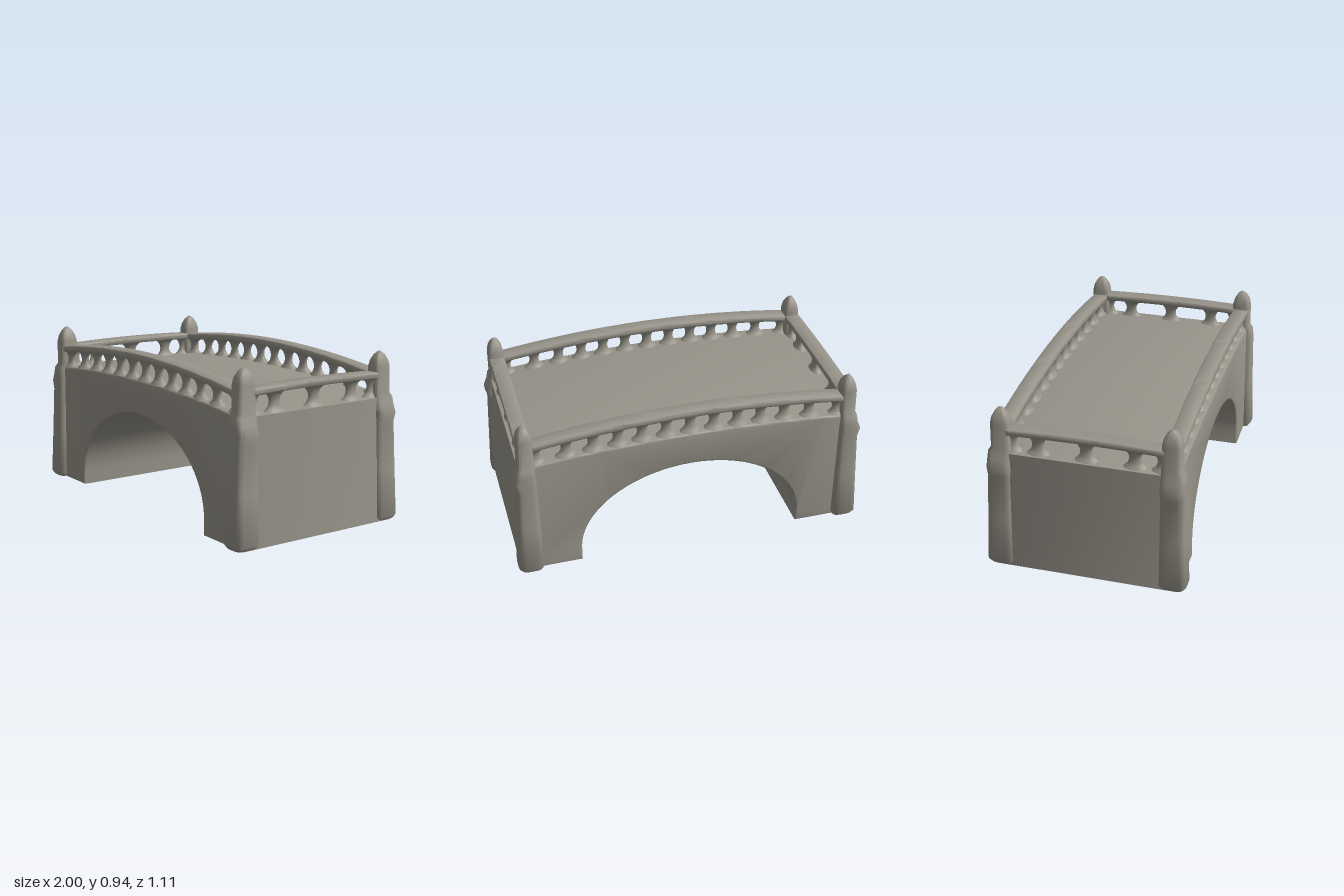
import * as THREE from 'three';
import { toCreasedNormals } from 'three/addons/utils/BufferGeometryUtils.js';

const stone = new THREE.MeshStandardMaterial({ color: 0x98948a });
stone.name = 'stone';

const crown = (x) => 1 - (x / 0.9) ** 2;
const deckY = (x) => 0.692 + 0.045 * crown(x);
const railTop = (x) => 0.82 + 0.066 * crown(x);
const railBottom = (x) => 0.782 + 0.062 * crown(x);

function part(name, geometry, parent) {
  const mesh = new THREE.Mesh(geometry, stone);
  mesh.name = name;
  parent.add(mesh);
  return mesh;
}

// Extrudes a shape centred on z, with softly rounded edges
function slab(shape, width, bevel) {
  const g = new THREE.ExtrudeGeometry(shape, {
    depth: width - 2 * bevel, bevelThickness: bevel, bevelSize: bevel,
    bevelOffset: -bevel, bevelSegments: 3, curveSegments: 24,
  });
  return g.translate(0, 0, bevel - width / 2);
}

// Band between two height curves
function band(half, top, bottom) {
  const pts = [];
  const n = 28;
  for (let i = 0; i <= n; i++) {
    const x = -half + (2 * half * i) / n;
    pts.push(new THREE.Vector2(x, bottom(x)));
  }
  for (let i = n; i >= 0; i--) {
    const x = -half + (2 * half * i) / n;
    pts.push(new THREE.Vector2(x, top(x)));
  }
  return new THREE.Shape(pts);
}

// Solid bridge body with elliptical arch, spreading towards the ground
function bodyGeometry() {
  const s = new THREE.Shape();
  s.moveTo(-0.955, 0);
  s.lineTo(-0.635, 0);
  for (let i = 0; i <= 40; i++) {
    const a = Math.PI * (1 - i / 40);
    s.lineTo(0.635 * Math.cos(a), 0.08 + 0.46 * Math.sin(a));
  }
  s.lineTo(0.635, 0);
  s.lineTo(0.955, 0);
  for (let i = 0; i <= 30; i++) {
    const x = 0.955 - (1.91 * i) / 30;
    s.lineTo(x, deckY(x));
  }
  const g = slab(s, 1.0, 0.012);
  const p = g.attributes.position;
  for (let i = 0; i < p.count; i++) {
    const x = p.getX(i);
    const low = 1 - p.getY(i) / 0.7;
    p.setZ(i, p.getZ(i) * (1 + 0.025 * low));
    if (Math.abs(x) > 0.9) p.setX(i, x + Math.sign(x) * 0.028 * low);
  }
  return toCreasedNormals(g, 0.6);
}

// Post rings: y, inner x, outer x, inner z, outer z
const postRings = [
  [0.003, 0.92, 0.92, 0.47, 0.47],
  [0.003, 0.865, 0.985, 0.41, 0.54],
  [0.025, 0.855, 1.0, 0.4, 0.555],
  [0.3, 0.858, 0.988, 0.4, 0.543],
  [0.55, 0.862, 0.977, 0.4, 0.534],
  [0.6, 0.862, 0.992, 0.4, 0.534],
  [0.645, 0.864, 0.973, 0.4, 0.532],
  [0.685, 0.866, 0.966, 0.4, 0.528],
  [0.71, 0.866, 0.957, 0.402, 0.512],
  [0.85, 0.866, 0.955, 0.403, 0.51],
  [0.885, 0.873, 0.948, 0.412, 0.502],
  [0.915, 0.887, 0.934, 0.429, 0.485],
  [0.933, 0.902, 0.919, 0.447, 0.467],
  [0.937, 0.91, 0.91, 0.457, 0.457],
];

function postGeometry(sx, sz) {
  const n = 28;
  const pos = [];
  const index = [];
  const round = (v) => Math.sign(v) * Math.abs(v) ** 0.5;
  postRings.forEach(([y, x0, x1, z0, z1], r) => {
    for (let i = 0; i < n; i++) {
      const a = (2 * Math.PI * i) / n;
      pos.push(
        (sx * (x0 + x1)) / 2 + ((x1 - x0) / 2) * round(Math.cos(a)),
        y,
        (sz * (z0 + z1)) / 2 + ((z1 - z0) / 2) * round(Math.sin(a)),
      );
      if (r === 0) continue;
      const j = (i + 1) % n;
      const a0 = (r - 1) * n + i, b0 = (r - 1) * n + j;
      const a1 = r * n + i, b1 = r * n + j;
      index.push(a0, a1, b0, b0, a1, b1);
    }
  });
  const g = new THREE.BufferGeometry();
  g.setAttribute('position', new THREE.Float32BufferAttribute(pos, 3));
  g.setIndex(index);
  return toCreasedNormals(g, 0.9);
}

// Waisted baluster of unit height, flaring into deck and rail
const balusterGeometry = new THREE.LatheGeometry(
  new THREE.SplineCurve([
    [0.062, 0], [0.05, 0.1], [0.034, 0.25], [0.027, 0.45],
    [0.03, 0.65], [0.042, 0.84], [0.064, 1],
  ].map(([r, y]) => new THREE.Vector2(r, y))).getPoints(16), 18);

function baluster(parent, x, z, y0, y1, sx, sz) {
  const m = part('baluster', balusterGeometry, parent);
  m.position.set(x, y0, z);
  m.scale.set(sx, y1 - y0, sz);
}

export function createModel() {
  const bridge = new THREE.Group();
  bridge.name = 'archBridge';
  part('archBody', bodyGeometry(), bridge);

  // Long curved balustrades
  const sideRail = toCreasedNormals(slab(band(0.9, railTop, railBottom), 0.092, 0.013), 0.9);
  for (const sz of [-1, 1]) {
    const side = new THREE.Group();
    side.name = sz > 0 ? 'frontBalustrade' : 'backBalustrade';
    part('sideRail', sideRail, side).position.z = sz * 0.457;
    for (const x of [0, 0.135, 0.27, 0.403, 0.54, 0.687, 0.855]) {
      for (const sx of x ? [-1, 1] : [1]) {
        baluster(side, sx * x, sz * 0.457, deckY(x) - 0.005, railBottom(x) + 0.008, 1, 0.68);
      }
    }
    bridge.add(side);
  }

  // Short end balustrades
  const endTop = (z) => 0.835 - 0.05 * z * z;
  const endBottom = (z) => 0.797 - 0.05 * z * z;
  const endRail = toCreasedNormals(slab(band(0.43, endTop, endBottom), 0.09, 0.012), 0.9);
  endRail.rotateY(Math.PI / 2);
  for (const sx of [-1, 1]) {
    const end = new THREE.Group();
    end.name = sx > 0 ? 'leftBalustrade' : 'rightBalustrade';
    part('endRail', endRail, end).position.x = sx * 0.91;
    for (const z of [-0.41, -0.26, 0, 0.26, 0.41]) {
      baluster(end, sx * 0.908, z, 0.682, 0.802, 0.68, 1.2);
    }
    bridge.add(end);
  }

  // Corner posts with domed tips
  for (const sx of [-1, 1]) {
    for (const sz of [-1, 1]) {
      part(`${sz > 0 ? 'front' : 'back'}${sx > 0 ? 'Left' : 'Right'}Post`, postGeometry(sx, sz), bridge);
    }
  }
  return bridge;
}
